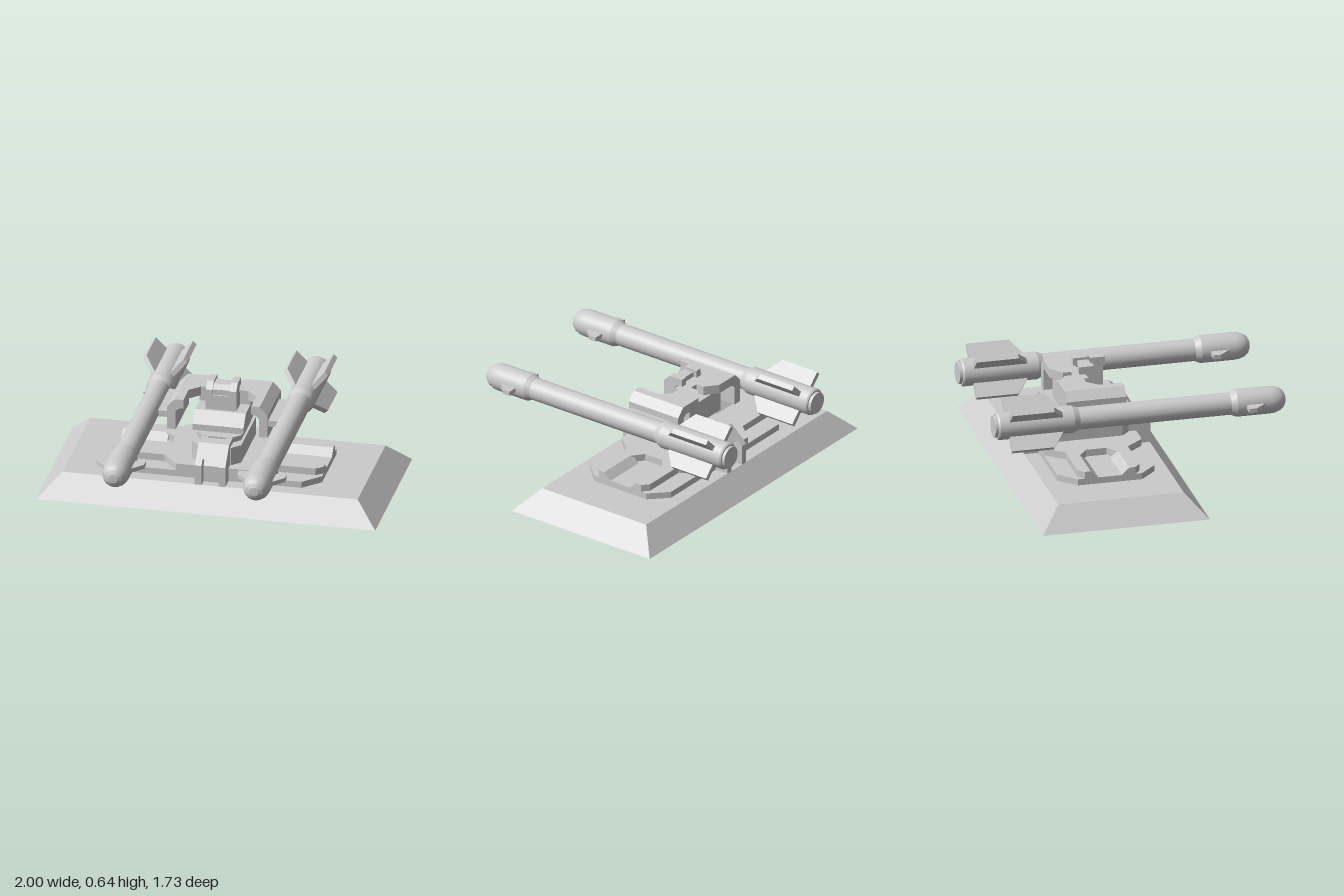
import * as THREE from 'three';
import { toCreasedNormals } from 'three/addons/utils/BufferGeometryUtils.js';

const material = new THREE.MeshStandardMaterial({ color: 0xcccccc });
const MID = -0.225; // z of the base centre

function add(parent, name, geometry) {
  const mesh = new THREE.Mesh(geometry, material);
  mesh.name = name;
  parent.add(mesh);
  return mesh;
}

function extrude(points, depth) {
  const shape = new THREE.Shape(points.map(([a, b]) => new THREE.Vector2(a, b)));
  return new THREE.ExtrudeGeometry(shape, { depth, bevelEnabled: false });
}

// Plan outline [x, z] raised from y0 to y1
function slab(points, y0, y1) {
  return extrude(points.map(([x, z]) => [x, -z]), y1 - y0).rotateX(-Math.PI / 2).translate(0, y0, 0);
}

// Side profile [z, y] swept from x0 to x1
function prism(points, x0, x1) {
  return extrude(points, x1 - x0).rotateY(-Math.PI / 2).translate(x1, 0, 0);
}

function box(x0, x1, y0, y1, z0, z1) {
  return new THREE.BoxGeometry(x1 - x0, y1 - y0, z1 - z0)
    .translate((x0 + x1) / 2, (y0 + y1) / 2, (z0 + z1) / 2);
}

// Rectangle with cut corners, centred on z = MID
function octagon(hx, hz, cx, cz) {
  return [[hx, hz - cz], [hx - cx, hz], [cx - hx, hz], [-hx, hz - cz],
    [-hx, cz - hz], [cx - hx, -hz], [hx - cx, -hz], [hx, cz - hz]].map(([x, z]) => [x, z + MID]);
}

function createBase(root) {
  const geo = new THREE.BoxGeometry(2, 0.13, 0.99);
  const pos = geo.attributes.position;
  for (let i = 0; i < pos.count; i++) {
    if (pos.getY(i) > 0) pos.setXYZ(i, pos.getX(i) * 0.87, pos.getY(i), pos.getZ(i) * 0.753);
  }
  geo.computeVertexNormals();
  add(root, 'base', geo.translate(0, 0.065, MID));
}

function createPlatform(root) {
  const platform = new THREE.Group();
  platform.name = 'platform';
  root.add(platform);
  add(platform, 'lowerPlate', slab(octagon(0.62, 0.29, 0.1, 0.1), 0.13, 0.168));

  // Upper plate, with a trough open at each outer end
  const quarter = [[0.22, 0.29], [0.31, 0.185], [0.58, 0.185], [0.62, 0.15], [0.62, 0.115], [0.37, 0.115], [0.3, 0.06]];
  const right = [...quarter, ...quarter.slice().reverse().map(([x, z]) => [x, -z])];
  const left = right.slice().reverse().map(([x, z]) => [-x, z]);
  add(platform, 'upperPlate', slab([...right, ...left].map(([x, z]) => [x, z + MID]), 0.168, 0.21));

  // Sloping trough walls
  for (const sx of [-1, 1]) {
    for (const sz of [-1, 1]) {
      const wedge = [[0.115, 0.168], [0.115, 0.21], [0.07, 0.168]].map(([z, y]) => [MID + sz * z, y]);
      add(platform, 'troughWall', prism(wedge, sx > 0 ? 0.35 : -0.62, sx > 0 ? 0.62 : -0.35));
    }
  }
}

function createPedestal(root) {
  const pedestal = new THREE.Group();
  pedestal.name = 'pedestal';
  root.add(pedestal);
  add(pedestal, 'pedestalBody', slab(octagon(0.145, 0.245, 0.05, 0.05), 0.21, 0.32));
  add(pedestal, 'pedestalShoulder', slab(octagon(0.13, 0.18, 0.05, 0.05), 0.32, 0.352));
  add(pedestal, 'neck', slab(octagon(0.13, 0.11, 0.04, 0.04), 0.35, 0.375));

  // Front-to-back brace: two outer ribs and a recessed centre
  const brace = (d) => [[0.375 - d, 0.13], [0.375 - d, 0.25 - d * 0.4], [0.27 - d, 0.35 - d * 0.4],
    [d - 0.27, 0.35 - d * 0.4], [d - 0.375, 0.25 - d * 0.4], [d - 0.375, 0.13]].map(([z, y]) => [z + MID, y]);
  add(pedestal, 'braceRib', prism(brace(0), 0.05, 0.09));
  add(pedestal, 'braceRib', prism(brace(0), -0.09, -0.05));
  add(pedestal, 'braceCentre', prism(brace(0.05), -0.05, 0.05));
  for (const s of [-1, 1]) {
    const cap = [[0.3, 0.28], [0.345, 0.28], [0.27, 0.35], [0.2, 0.35], [0.2, 0.32]];
    add(pedestal, 'braceBridge', prism(cap.map(([z, y]) => [MID + s * z, y]), -0.05, 0.05));
  }
}

function createTurret(root) {
  const turret = new THREE.Group();
  turret.name = 'turret';
  root.add(turret);
  add(turret, 'turretBlock', prism(
    [[-0.065, 0.372], [-0.065, 0.41], [-0.13, 0.475], [-0.25, 0.475], [-0.25, 0.51], [-0.37, 0.51], [-0.37, 0.372]],
    -0.15, 0.15));

  // Roof plate notched at the back and chamfered towards the arms
  add(turret, 'roof', slab([[0.2, -0.4], [0.2, -0.185], [0.14, -0.245], [-0.14, -0.245], [-0.2, -0.185],
    [-0.2, -0.4], [-0.1, -0.4], [-0.025, -0.34], [-0.025, -0.29], [0.025, -0.29], [0.025, -0.34], [0.1, -0.4]], 0.51, 0.565));

  // Bent arms with the rails that hold the missiles
  for (const s of [-1, 1]) {
    const section = [[0.2, 0.51], [0.2, 0.565], [0.25, 0.565], [0.297, 0.515], [0.297, 0.375],
      [0.245, 0.375], [0.245, 0.49], [0.225, 0.51]];
    add(turret, 'arm', extrude(section.map(([x, y]) => [s * x, y]), 0.355).translate(0, 0, -0.4));
    add(turret, 'missileRail', box(s * 0.32 - 0.035, s * 0.32 + 0.035, 0.44, 0.478, -0.36, -0.06));
  }

  // Central column, topped by a hooked sight with a notch between its cheeks
  add(turret, 'column', box(-0.09, 0.09, 0.47, 0.565, -0.26, -0.145));
  const hook = [[-0.145, 0.56], [-0.145, 0.598], [-0.185, 0.637], [-0.273, 0.637], [-0.273, 0.592], [-0.238, 0.592], [-0.212, 0.56]];
  add(turret, 'sightCheek', prism(hook, 0.05, 0.09));
  add(turret, 'sightCheek', prism(hook, -0.09, -0.05));
  add(turret, 'sightCentre', prism(
    [[-0.155, 0.56], [-0.155, 0.598], [-0.185, 0.622], [-0.25, 0.622], [-0.25, 0.592], [-0.238, 0.592], [-0.212, 0.56]],
    -0.05, 0.05));
}

function createMissile(root, x) {
  const missile = new THREE.Group();
  missile.name = 'missile';
  missile.position.set(x, 0.46, 0);
  root.add(missile);

  // Body profile [radius, z] from tail to nose
  const profile = [[0, -0.868], [0.064, -0.868], [0.064, -0.85], [0.074, -0.85], [0.08, -0.84], [0.08, -0.4],
    [0.065, -0.365], [0.065, 0.535], [0.08, 0.57], [0.08, 0.77], [0.077, 0.8], [0.067, 0.83],
    [0.05, 0.852], [0.028, 0.863], [0, 0.866]].map(([r, z]) => new THREE.Vector2(r, z));
  const body = new THREE.LatheGeometry(profile, 32).rotateX(Math.PI / 2);
  add(missile, 'missileBody', toCreasedNormals(body, 0.35));

  // Four tail fins set in an X
  for (let i = 0; i < 4; i++) {
    const fin = slab([[0.06, -0.46], [0.085, -0.47], [0.17, -0.535], [0.17, -0.785], [0.06, -0.785]], -0.015, 0.015);
    add(missile, 'tailFin', fin.rotateZ(Math.PI / 4 + i * Math.PI / 2));
  }
  // Two flat nose fins
  for (const s of [-1, 1]) {
    const fin = [[0.06, 0.62], [0.14, 0.62], [0.14, 0.665], [0.075, 0.735], [0.06, 0.735]];
    add(missile, 'noseFin', slab(fin.map(([r, z]) => [s * r, z]), -0.013, 0.013));
  }
}

export function createModel() {
  const root = new THREE.Group();
  root.name = 'missileLauncher';
  createBase(root);
  createPlatform(root);
  createPedestal(root);
  createTurret(root);
  for (const x of [-0.415, 0.415]) createMissile(root, x);
  return root;
}
